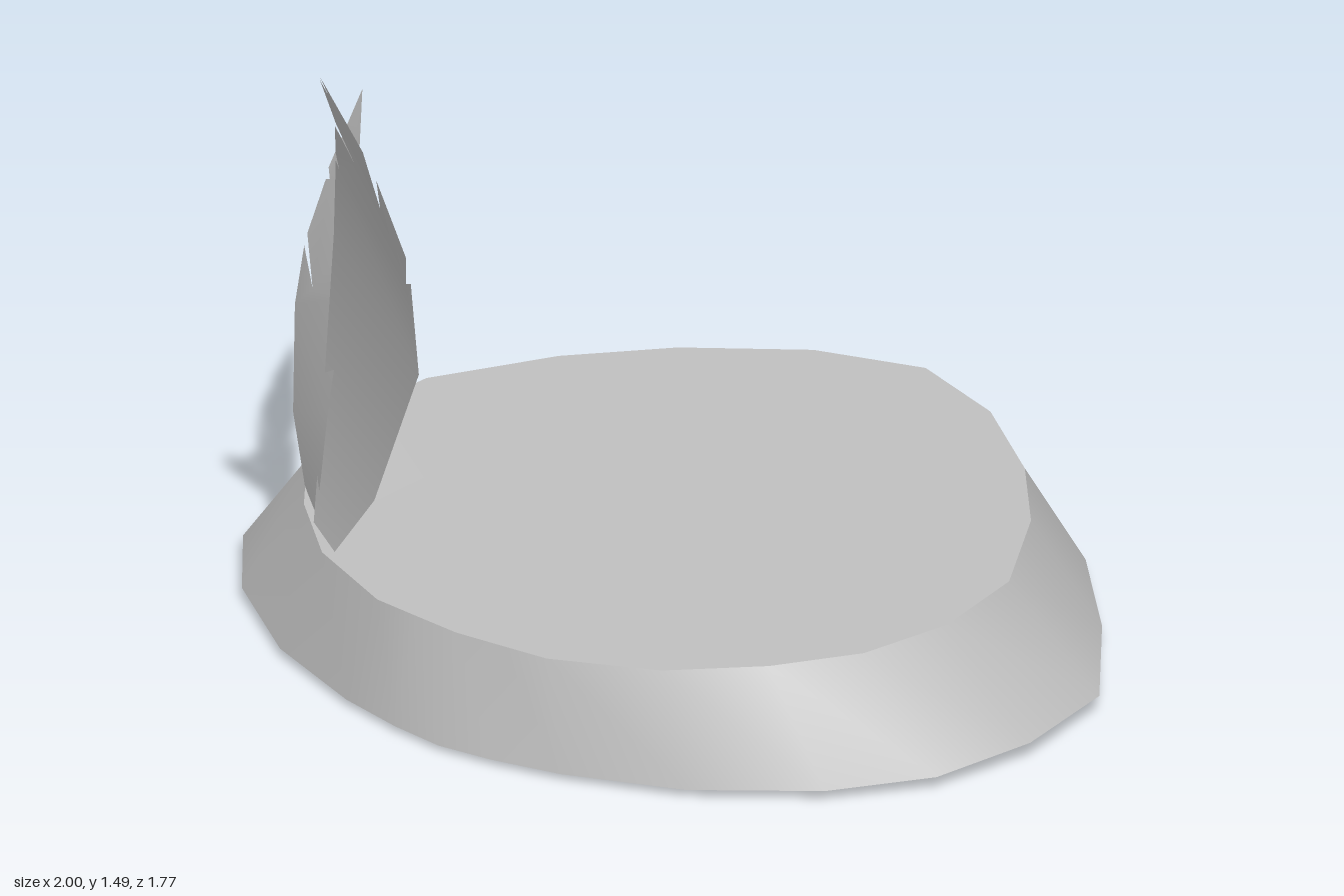
import * as THREE from 'three';

const grey = new THREE.MeshStandardMaterial({ color: 0xbfbfbf });
grey.name = 'grey';
const greyThin = grey;
greyThin.side = THREE.DoubleSide;

function makeMesh(name, vertices, index) {
  const geometry = new THREE.BufferGeometry();
  geometry.setAttribute('position', new THREE.Float32BufferAttribute(vertices.flat(), 3));
  geometry.setIndex(index);
  geometry.computeVertexNormals();
  const mesh = new THREE.Mesh(geometry, grey);
  mesh.name = name;
  return mesh;
}

// Mirror a half outline (back to front along +x) into a closed ring
function ring(half, height) {
  const mirrored = half.slice(1, -1).reverse().map(([x, z]) => [-x, z]);
  return [...half, ...mirrored].map(([x, z]) => [x, height(z), z]);
}

function makeBase() {
  const base = new THREE.Group();
  base.name = 'base';
  const lower = ring(
    [[0, -0.89], [0.27, -0.81], [0.53, -0.65], [0.76, -0.42], [0.97, -0.15], [1, 0.12],
      [0.94, 0.36], [0.79, 0.55], [0.55, 0.72], [0.29, 0.82], [0.13, 0.855], [0, 0.87]],
    (z) => 0.04 - 0.036 * Math.max(0, z - 0.12));
  const upper = ring(
    [[0, -0.77], [0.24, -0.69], [0.47, -0.52], [0.64, -0.33], [0.79, -0.07], [0.815, 0.17],
      [0.755, 0.375], [0.63, 0.54], [0.46, 0.69], [0.23, 0.79], [0.12, 0.8], [0, 0.81]],
    (z) => 0.284 - 0.038 * Math.max(0, z - 0.05));
  const n = lower.length;
  const wall = [], top = [], bottom = [];
  for (let i = 0; i < n; i++) {
    const j = (i + 1) % n;
    wall.push(i, n + i, n + j, i, n + j, j);
    top.push(n, j, i);
    bottom.push(n, i, j);
  }
  base.add(
    makeMesh('slopedWall', [...lower, ...upper], wall),
    makeMesh('topFace', [...upper, [0, 0.272, 0.12]], top),
    makeMesh('underside', [...lower, [0, 0, 0.15]], bottom));
  return base;
}

// rows: left and right edge points of the lower vane; tip: jagged outline from right to left
function makeFeather(name, rows, tip, depth) {
  const points = rows.flatMap(([xl, yl, xr, yr]) => [[xl, yl], [xr, yr]]);
  const index = [];
  for (let i = 0; i < rows.length - 1; i++) {
    const k = 2 * i;
    index.push(k, k + 1, k + 3, k, k + 3, k + 2);
  }
  const left = points.length - 2, right = left + 1;
  const ids = [left, right, ...tip.map((_, i) => right + 1 + i)];
  points.push(...tip);
  const contour = ids.map((id) => new THREE.Vector2(...points[id]));
  for (const face of THREE.ShapeUtils.triangulateShape(contour, [])) {
    if (THREE.ShapeUtils.isClockWise(face.map((f) => contour[f]))) face.reverse();
    index.push(...face.map((f) => ids[f]));
  }
  return makeMesh(name, points.map(([x, y]) => [x, y, depth(x, y)]), index);
}

export function createModel() {
  const model = new THREE.Group();
  model.name = 'featheredBand';
  model.add(makeBase());

  // Tall feather, curling forward at the tip
  model.add(makeFeather('largeFeather',
    [[-0.56, 0.26, -0.44, 0.26], [-0.63, 0.52, -0.31, 0.43], [-0.6, 0.88, -0.125, 0.81]],
    [[-0.115, 1.04], [-0.15, 1.02], [-0.11, 1.11], [-0.175, 1.28], [-0.225, 1.17], [-0.205, 1.34],
      [-0.31, 1.49], [-0.315, 1.4], [-0.345, 1.455], [-0.39, 1.3], [-0.34, 1.22], [-0.41, 1.28],
      [-0.485, 1.16], [-0.49, 1.11], [-0.5, 1.13]],
    (x, y) => 0.65 * x + 0.86 + 0.41 * (y - 0.75) ** 2));

  // Short feather, sweeping outward and back
  model.add(makeFeather('smallFeather',
    [[-0.68, 0.27, -0.58, 0.26], [-0.8, 0.365, -0.555, 0.36], [-0.885, 0.55, -0.56, 0.5]],
    [[-0.61, 0.71], [-0.675, 0.82], [-0.7, 0.75], [-0.705, 0.86], [-0.87, 0.98], [-0.895, 0.82],
      [-0.87, 0.81], [-0.89, 0.8], [-0.905, 0.685], [-0.8, 0.63], [-0.905, 0.66]],
    (x, y) => 0.86 * x + 1.06 - 0.5 * (y - 0.25) ** 2));
  return model;
}
